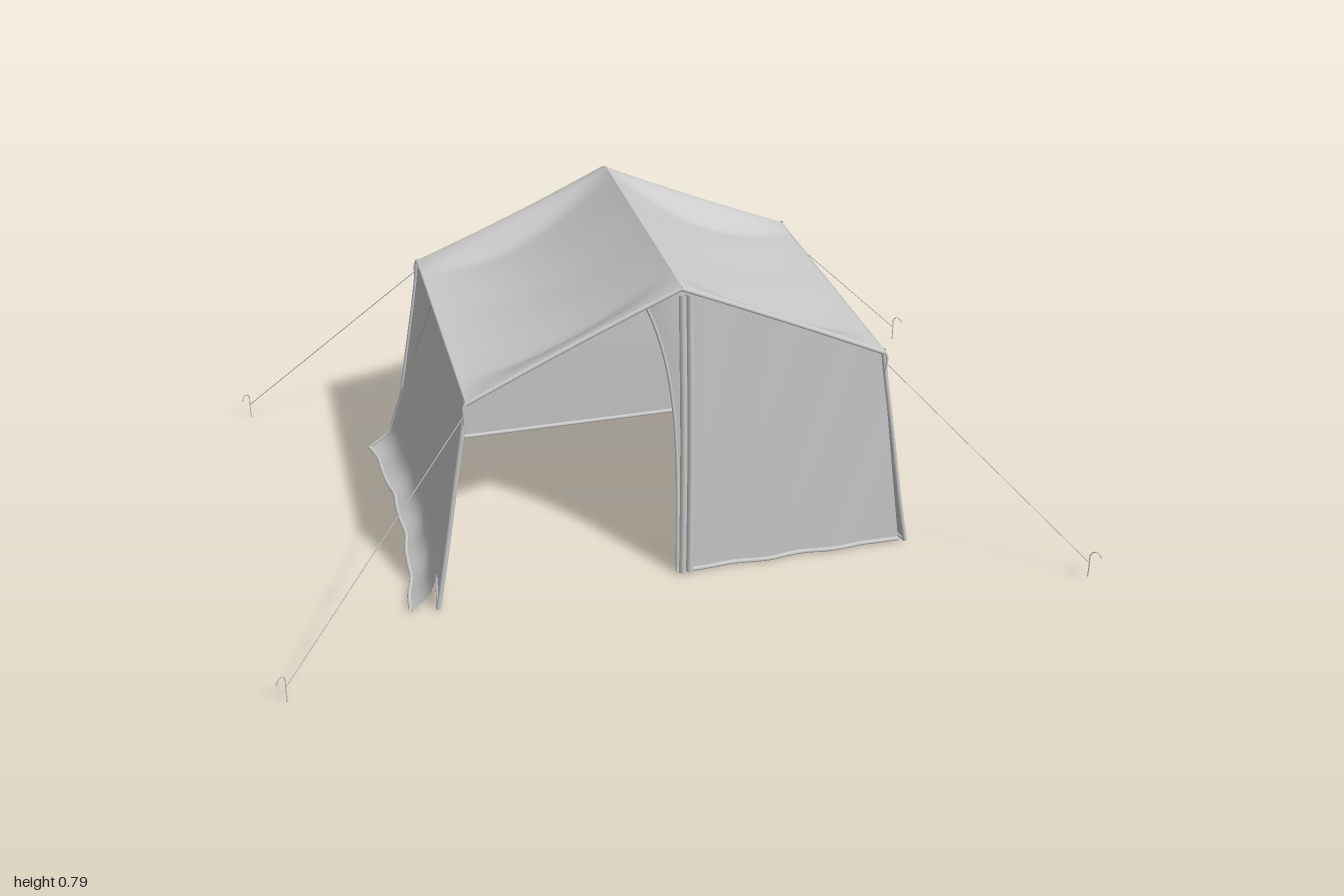
import * as THREE from 'three';

const H = 0.57, RIDGE = 0.8, EAVE = 0.505, ZE = 0.39;
const cloth = new THREE.MeshStandardMaterial({ color: 0xcccccc, side: THREE.DoubleSide });
const V = (x, y, z) => new THREE.Vector3(x, y, z);
const lerp = THREE.MathUtils.lerp;
const bulge = (t) => Math.sin(Math.PI * t);
const gableY = (x) => RIDGE - (RIDGE - H) * Math.min(1, Math.abs(x) / EAVE);

// A cloth sheet: a grid whose points follow fn(u, v)
function sheet(name, fn, nu = 32, nv = 32) {
  const geo = new THREE.PlaneGeometry(1, 1, nu, nv);
  const pos = geo.attributes.position;
  for (let i = 0; i < pos.count; i++) {
    const p = fn(pos.getX(i) + 0.5, pos.getY(i) + 0.5);
    pos.setXYZ(i, p.x, p.y, p.z);
  }
  geo.computeVertexNormals();
  const mesh = new THREE.Mesh(geo, cloth);
  mesh.name = name;
  return mesh;
}

// A rounded seam, rope or wire through a few points
function tube(name, points, radius, segments = 20, sides = 8) {
  const curve = new THREE.CatmullRomCurve3(points);
  const mesh = new THREE.Mesh(new THREE.TubeGeometry(curve, segments, radius, sides), cloth);
  mesh.name = name;
  return mesh;
}

// A seam that follows one edge of a sheet
function hem(name, fn, radius) {
  const points = [];
  for (let i = 0; i <= 12; i++) points.push(fn(i / 12));
  return tube(name, points, radius, 36);
}

// Roof slope: s from ridge to eave, v from back to front, sagging most near the back
function roofPoint(side, s, v) {
  const end = THREE.MathUtils.smoothstep(Math.min(v, 1 - v), 0, 0.13);
  const sag = lerp(0.058, 0.036, v) * Math.pow(bulge(s), 0.9) * end;
  const ripple = 0.002 * Math.sin(v * 17 + s * 5) * bulge(s) * end;
  const z = lerp(-0.389 + 0.012 * bulge(s), 0.395 - 0.006 * bulge(s), v);
  const dip = 0.014 * (1 - s) * Math.pow(Math.max(0, 1 - v / 0.06), 2);
  return V(side * EAVE * s, lerp(RIDGE, H, s) - sag - dip + ripple, z);
}

// Side wall: v from ground to eave, pulled outwards at both lower corners;
// the right one is pushed out further by the door lying on it
function wallPoint(side, u, v) {
  const t = 1 - v, c = Math.abs(2 * u - 1);
  const middle = side > 0 ? 0.04 : 0.062;
  const flare = lerp(middle, 0.094, Math.pow(c, 1.8));
  const fold = 0.002 * Math.sin(u * 24 + v * 4) * bulge(v);
  return V(side * (EAVE + flare * Math.pow(t, 1.1) + fold), lerp(0.012, H, v),
    lerp(-0.39, 0.39, u) * (1 + 0.015 * t));
}

// Back wall: full gable
function backPoint(u, v) {
  const k = 2 * u - 1;
  const x = k * (EAVE + 0.085 * (1 - v));
  return V(x, lerp(0.012, gableY(k * EAVE) - 0.018, v), -0.385 - 0.008 * (1 - v) + 0.012 * bulge(u) * bulge(v));
}

// Closed front door half, its free edge curling past the ridge at the top
function doorPoint(u, v) {
  const top = lerp(-0.08, EAVE, u);
  const x = lerp(-0.08 * Math.pow(v, 4), EAVE + 0.08 * (1 - v), u);
  const y = lerp(0.012, gableY(top) - 0.008, v);
  const folds = 0.005 * Math.sin(u * 20 - v * 9) * bulge(u) * (1 - 0.6 * v);
  const curl = 0.01 * Math.pow(Math.max(0, 1 - u / 0.12), 2) * v;
  return V(x, y, ZE - 0.006 + folds - curl);
}

// Open door half, thrown back flat against the outside of the side wall,
// its lower edge spreading out on the ground
function flapPoint(u, v) {
  const t = 1 - v;
  const z = lerp(0.385, lerp(-0.4, -0.12, Math.pow(v, 1.6)), u);
  const p = wallPoint(-1, (z + 0.39) / 0.78, v);
  const ground = 0.05 * Math.pow(t, 22);
  const ripple = 0.004 * Math.sin(u * 26) * Math.pow(t, 3);
  p.x -= 0.006 + 0.01 * t + ground + ripple;
  p.y -= 0.008 * v;
  p.z = z;
  return p;
}

// Rope and hooked stake at one corner
function guyLine(sx, sz) {
  const g = new THREE.Group();
  g.name = 'guyLine';
  const foot = V(sx * 0.978, 0.05, sz * 0.657);
  const eye = V(sx * 0.508, 0.54, sz * 0.395);
  g.add(tube('rope', [eye, eye.clone().lerp(foot, 0.5), foot], 0.0012, 8, 6));
  g.add(tube('ropeTie', [V(sx * 0.498, H, sz * 0.388), V(sx * 0.511, 0.56, sz * 0.396),
    V(sx * 0.512, 0.51, sz * 0.396)], 0.003, 10, 6));
  const { x, z } = foot;
  g.add(tube('stake', [V(x, 0.01, z), V(x, 0.04, z), V(x, 0.075, z), V(x + sx * 0.006, 0.086, z + 0.007),
    V(x + sx * 0.015, 0.083, z + 0.014), V(x + sx * 0.02, 0.072, z + 0.018)], 0.0015, 20, 6));
  return g;
}

export function createModel() {
  const model = new THREE.Group();
  model.name = 'tent';

  // Roof, side walls and the seams around them
  for (const side of [1, -1]) {
    const tag = side > 0 ? 'left' : 'right';
    model.add(sheet(tag + 'Roof', (u, v) => roofPoint(side, u, v), 28, 56));
    model.add(sheet(tag + 'Wall', (u, v) => wallPoint(side, u, v), 40, 28));
    model.add(hem(tag + 'EaveSeam', (t) => roofPoint(side, 1, t).add(V(0, -0.003, 0)), 0.004));
    model.add(hem(tag + 'WallHem', (t) => wallPoint(side, t, 0), 0.005));
    model.add(hem(tag + 'GableSeam', (t) => roofPoint(side, t, 1).add(V(0, -0.006, -0.002)), 0.006));
    for (const e of [0, 1]) {
      model.add(hem(tag + 'CornerSeam', (t) => wallPoint(side, e, t), 0.006));
    }
    for (const sz of [1, -1]) model.add(guyLine(side, sz));
    // Padded band rounding the back edge of the roof down to the gable
    model.add(sheet(tag + 'BackBand', (u, v) => {
      const p = roofPoint(side, u, 0);
      return V(p.x, p.y - 0.017 * (1 - Math.cos(Math.PI * v)), p.z - 0.013 * bulge(v));
    }, 20, 10));
  }

  // Gable walls
  model.add(sheet('backWall', backPoint, 40, 24));
  model.add(hem('backHem', (t) => backPoint(t, 0), 0.006));
  model.add(sheet('closedDoor', doorPoint, 40, 30));
  model.add(hem('doorHem', (t) => doorPoint(t, 0), 0.006));
  model.add(hem('doorEdge', (t) => doorPoint(0, t), 0.004));

  // Two rolled strips along the door opening
  for (const x of [0.012, 0.03]) {
    model.add(tube('doorRoll', [V(x, 0.012, 0.392), V(x - 0.002, 0.4, 0.394), V(x - 0.008, 0.775, 0.388)], 0.009));
  }

  // Open door
  model.add(sheet('openDoor', flapPoint, 48, 60));
  model.add(hem('openDoorHem', (t) => flapPoint(t, 0), 0.005));
  model.add(hem('openDoorEdge', (t) => flapPoint(1, t), 0.004));
  return model;
}
